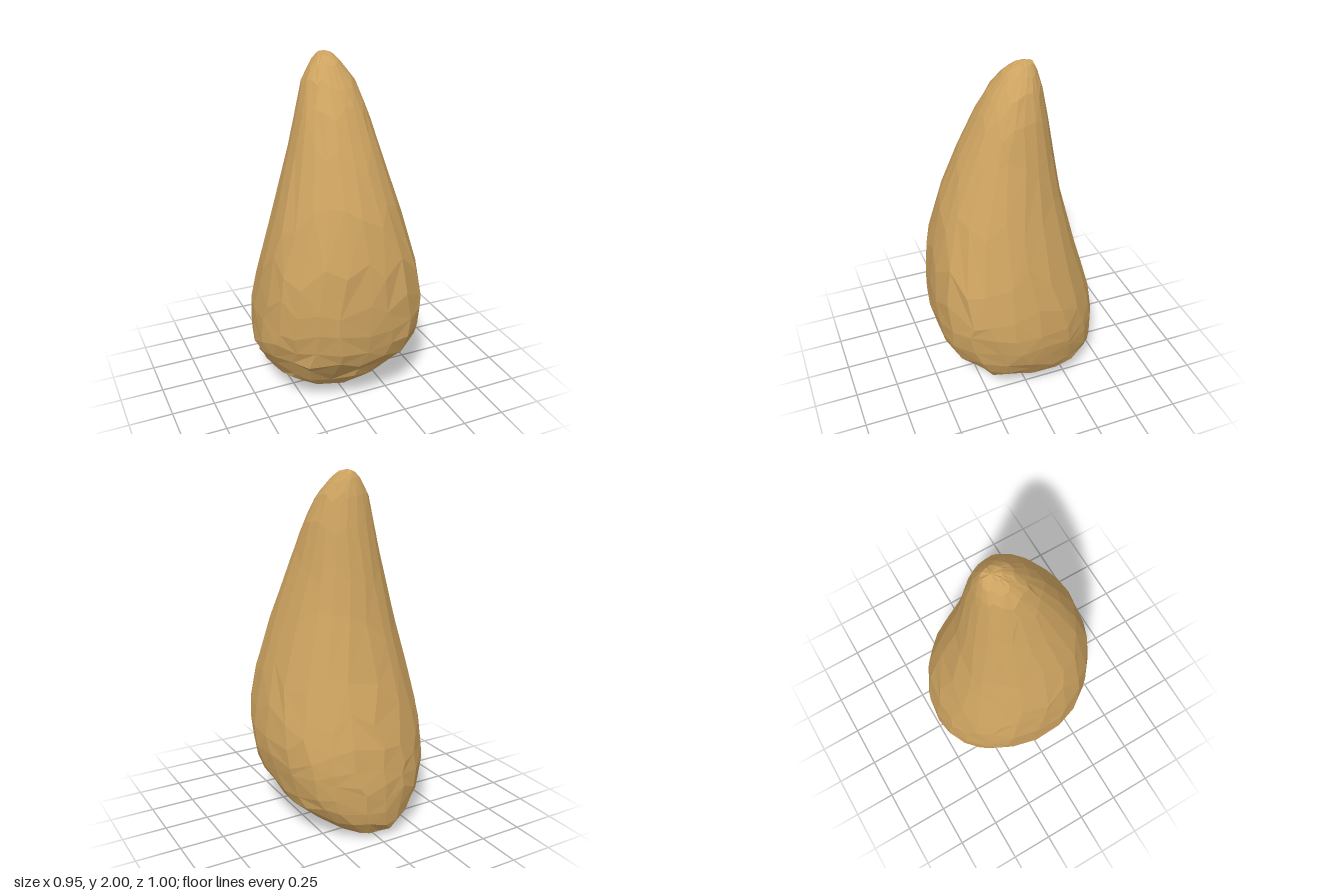
import * as THREE from 'three';

const SIDES = 22;

// Cross-sections: height, right x, left x, back z, front z
const RINGS = [
  [0.012, -0.12, 0.12, -0.35, 0.08],
  [0.045, -0.21, 0.20, -0.475, 0.175],
  [0.11, -0.32, 0.30, -0.49, 0.25],
  [0.19, -0.405, 0.39, -0.497, 0.325],
  [0.27, -0.445, 0.43, -0.50, 0.39],
  [0.36, -0.475, 0.46, -0.492, 0.445],
  [0.45, -0.48, 0.47, -0.48, 0.48],
  [0.56, -0.48, 0.475, -0.46, 0.495],
  [0.70, -0.462, 0.455, -0.42, 0.50],
  [0.90, -0.425, 0.41, -0.36, 0.49],
  [1.20, -0.34, 0.325, -0.28, 0.42],
  [1.50, -0.25, 0.235, -0.225, 0.30],
  [1.72, -0.192, 0.18, -0.19, 0.195],
  [1.86, -0.15, 0.13, -0.165, 0.11],
  [1.95, -0.09, 0.065, -0.14, 0.035],
  [1.988, -0.045, 0.03, -0.12, -0.02],
];

// Repeatable noise between -1 and 1
function noise(i, j, k) {
  const s = Math.sin(i * 12.99 + j * 78.23 + k * 37.72) * 4375.85;
  return (s - Math.floor(s)) * 2 - 1;
}

// Slide along the outline, part of the way to the next or previous ring
function section(row, shift) {
  const other = RINGS[row + Math.sign(shift)] ?? RINGS[row];
  return RINGS[row].map((v, k) => THREE.MathUtils.lerp(v, other[k], Math.abs(shift)));
}

const soften = (v) => Math.sign(v) * Math.abs(v) ** 0.94;

function ringPoint(row, i) {
  const [y, x0, x1, z0, z1] = section(row, 0.32 * noise(i, row, 2));
  const a = ((i + 0.2 * noise(i, row, 3)) / SIDES) * Math.PI * 2;
  const s = soften(Math.sin(a)), c = soften(Math.cos(a));
  const cx = (x0 + x1) / 2, hx = (x1 - x0) / 2;
  // the widest line sits a little forward of the middle
  const cz = (z0 + z1) / 2 + 0.04 * Math.min(1, hx / 0.4);
  // dents on the lower front and underside only; the back stays smooth
  const front = THREE.MathUtils.smoothstep(c, -0.7, 0.3);
  const low = 1 - THREE.MathUtils.smoothstep(y, 0.38, 0.55);
  const dent = (0.006 + 0.03 * front * low) * (noise(i, row, 1) - 0.25);
  // fuller left front corner
  const bulge = 0.09 * Math.max(0, Math.cos(a - 0.72)) ** 10 * Math.min(1, hx / 0.45) ** 3;
  const r = 1 + dent + bulge;
  return [cx + hx * s * r, y, cz + (c > 0 ? z1 - cz : cz - z0) * c * r];
}

function bodyGeometry() {
  const pos = [], index = [];
  RINGS.forEach((_, row) => {
    for (let i = 0; i < SIDES; i++) pos.push(...ringPoint(row, i));
  });
  const id = (row, i) => row * SIDES + (i % SIDES);

  // Skin between rings, with mixed diagonals for an irregular faceting
  for (let row = 0; row < RINGS.length - 1; row++) {
    for (let i = 0; i < SIDES; i++) {
      const a = id(row, i), b = id(row, i + 1), c = id(row + 1, i + 1), d = id(row + 1, i);
      if (noise(i, row, 5) > 0) index.push(a, b, c, a, c, d);
      else index.push(a, b, d, b, c, d);
    }
  }

  // Closing fans under the base and over the tip
  const base = pos.length / 3, tip = base + 1, last = RINGS.length - 1;
  pos.push(0, 0, -0.17, -0.01, 2, -0.075);
  for (let i = 0; i < SIDES; i++) {
    index.push(base, id(0, i + 1), id(0, i));
    index.push(tip, id(last, i), id(last, i + 1));
  }

  const indexed = new THREE.BufferGeometry();
  indexed.setAttribute('position', new THREE.Float32BufferAttribute(pos, 3));
  indexed.setIndex(index);
  const geometry = indexed.toNonIndexed();
  geometry.computeVertexNormals();
  return geometry;
}

export function createModel() {
  const group = new THREE.Group();
  group.name = 'stoneCone';
  const material = new THREE.MeshStandardMaterial({ color: 0xcda360, flatShading: true });
  const body = new THREE.Mesh(bodyGeometry(), material);
  body.name = 'body';
  group.add(body);
  return group;
}
